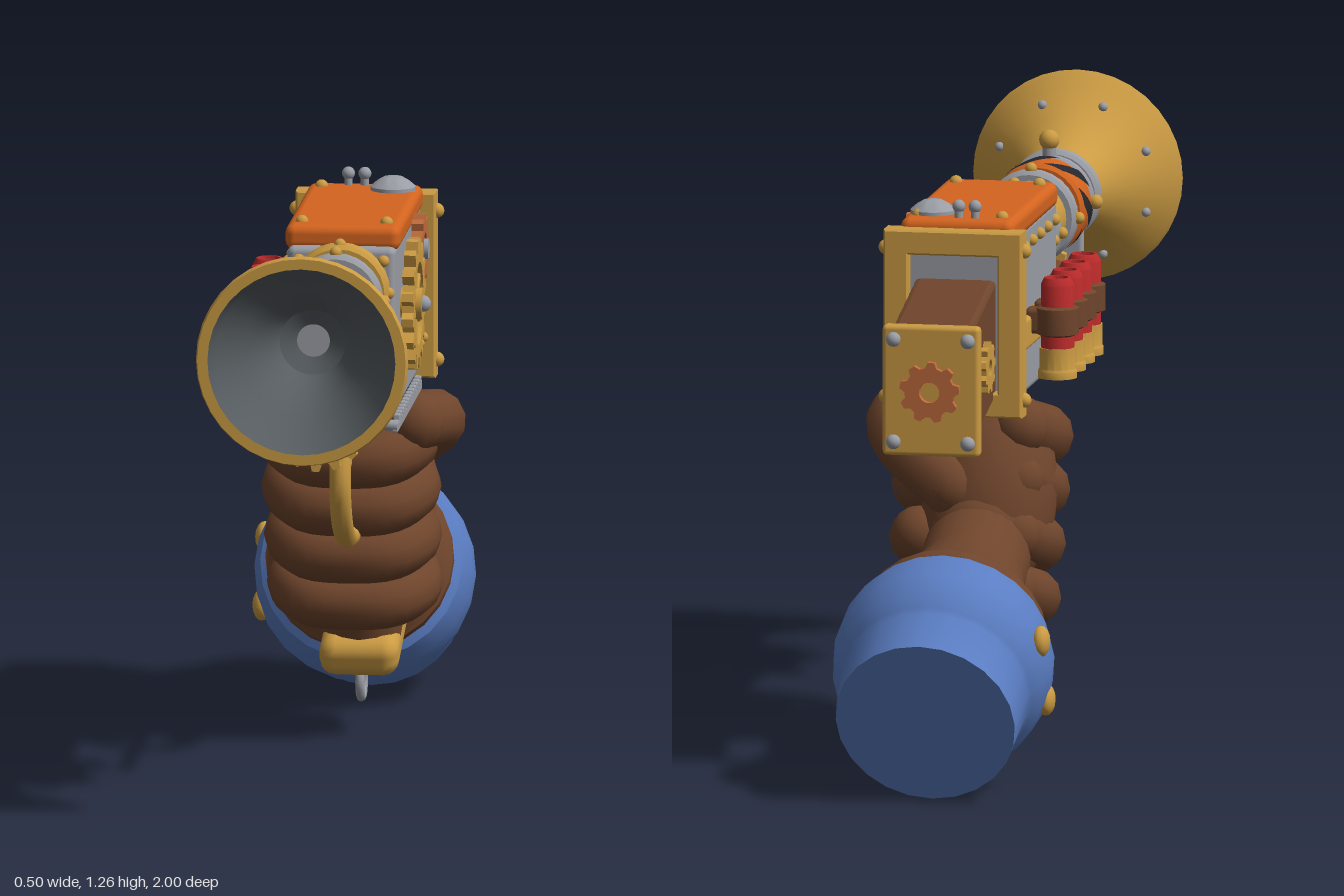
import * as THREE from 'three';
import { toCreasedNormals } from 'three/addons/utils/BufferGeometryUtils.js';
import { RoundedBoxGeometry } from 'three/addons/geometries/RoundedBoxGeometry.js';

const mat = (name, color, side = THREE.FrontSide) => {
  const m = new THREE.MeshStandardMaterial({ color, side });
  m.name = name;
  return m;
};
const V = (x, y, z) => new THREE.Vector3(x, y, z);

export function createModel() {
  const gold = mat('gold', 0xcb9b43), brown = mat('brown leather', 0x6f452c), blue = mat('blue cloth', 0x5a7dc2);
  const orange = mat('orange paint', 0xd4641f), grey = mat('grey steel', 0x9a9da5), dark = mat('dark paint', 0x26262c);
  const red = mat('red', 0xbc2b2b), copper = mat('copper', 0xbf6a3c), bore = mat('dark bore', 0x565c60);

  const model = new THREE.Group();
  const gun = new THREE.Group(), arm = new THREE.Group();
  gun.name = 'gun'; arm.name = 'arm';
  gun.position.x = 0.015;
  model.add(gun, arm);

  const add = (parent, name, geo, material, x = 0, y = 0, z = 0) => {
    const m = new THREE.Mesh(geo, material);
    m.name = name;
    m.position.set(x, y, z);
    parent.add(m);
    return m;
  };
  const box = (name, w, h, d, material, x, y, z, r = 0.01) =>
    add(gun, name, new RoundedBoxGeometry(w, h, d, 2, r), material, x, y, z);
  const ball = (name, r, material, x, y, z, parent = gun) =>
    add(parent, name, new THREE.SphereGeometry(r, 12, 8), material, x, y, z);
  // Turned part: profile of [radius, distance], spun about an axis
  const turned = (parent, name, profile, material, pos, dir = V(0, 0, 1), sides = 28) => {
    const geo = new THREE.LatheGeometry(profile.map(p => new THREE.Vector2(p[0], p[1])), sides);
    const m = add(parent, name, toCreasedNormals(geo, 0.6), material, pos.x, pos.y, pos.z);
    m.quaternion.setFromUnitVectors(V(0, 1, 0), dir.clone().normalize());
    return m;
  };
  // Closed ring or disc with bevelled edges, along z
  const collar = (name, r, z, w, material, y = 1.035) => turned(gun, name,
    [[0, -w / 2], [r - 0.008, -w / 2], [r, -w / 2 + 0.008], [r, w / 2 - 0.008], [r - 0.008, w / 2], [0, w / 2]],
    material, V(0, y, z));
  const rod = (parent, name, a, b, r, material, r2 = r) => {
    const m = add(parent, name, new THREE.CylinderGeometry(r2, r, a.distanceTo(b), 14), material);
    m.position.copy(a).lerp(b, 0.5);
    m.quaternion.setFromUnitVectors(V(0, 1, 0), b.clone().sub(a).normalize());
    return m;
  };
  const tube = (parent, name, pts, r, material) => {
    const curve = new THREE.CatmullRomCurve3(pts);
    add(parent, name, new THREE.TubeGeometry(curve, 24, r, 12), material);
    for (const p of [pts[0], pts[pts.length - 1]]) ball(name + 'End', r, material, p.x, p.y, p.z, parent);
  };
  // Gear lying in the xy plane, centred on its thickness
  const gear = (name, r, teeth, depth, hole, material, x, y, z) => {
    const s = new THREE.Shape(), step = Math.PI * 2 / teeth;
    for (let i = 0; i < teeth; i++) {
      [[0, 0.82], [0.18, 1], [0.5, 1], [0.68, 0.82]].forEach(([f, k], j) => {
        const a = (i + f) * step;
        s[i + j ? 'lineTo' : 'moveTo'](Math.cos(a) * r * k, Math.sin(a) * r * k);
      });
    }
    if (hole) s.holes.push(new THREE.Path().absarc(0, 0, hole, 0, Math.PI * 2, true));
    const geo = new THREE.ExtrudeGeometry(s, { depth, bevelEnabled: false, curveSegments: 20 });
    return add(gun, name, geo.translate(0, 0, -depth / 2), material, x, y, z);
  };

  // Barrel and flared muzzle
  turned(gun, 'barrel', [[0.08, 0.1], [0.08, 0.76]], gold, V(0, 1.035, 0));
  turned(gun, 'muzzleBell', [[0.08, 0.73], [0.088, 0.78], [0.108, 0.84], [0.145, 0.9], [0.195, 0.955], [0.217, 0.975],
    [0.226, 0.985], [0.222, 1], [0.2, 1]], gold, V(0, 1.035, 0), V(0, 0, 1), 36);
  turned(gun, 'muzzleBore', [[0.2, 1], [0.185, 0.96], [0.14, 0.9], [0.1, 0.84], [0.07, 0.76], [0, 0.72]], bore, V(0, 1.035, 0), V(0, 0, 1), 36);
  for (let i = 0; i < 8; i++) {
    const a = (i + 0.5) * Math.PI / 4;
    ball('bellRivet', 0.01, grey, Math.cos(a) * 0.171, 1.035 + Math.sin(a) * 0.171, 0.925);
  }
  for (const [z, r, w] of [[0.72, 0.1, 0.04], [0.66, 0.097, 0.03], [0.455, 0.1, 0.04], [0.265, 0.1, 0.04]]) collar('barrelRing', r, z, w, grey);
  collar('barrelCollar', 0.105, 0.17, 0.05, gold);
  for (const z of [0.455, 0.265, 0.17]) for (let i = 0; i < 4; i++) {
    const a = i * Math.PI / 2;
    ball('ringBolt', 0.013, gold, Math.cos(a) * 0.103, 1.035 + Math.sin(a) * 0.103, z);
  }

  // Striped warning band
  collar('warningBand', 0.1, 0.575, 0.095, orange);
  for (let i = 0; i < 7; i++) {
    const g = new THREE.CylinderGeometry(0.102, 0.102, 0.093, 5, 6, true, i * Math.PI * 2 / 7, 0.42);
    const p = g.attributes.position, v = V(0, 0, 0), up = V(0, 1, 0);
    for (let k = 0; k < p.count; k++) {
      v.fromBufferAttribute(p, k).applyAxisAngle(up, p.getY(k) * 7);
      p.setXYZ(k, v.x, v.y, v.z);
    }
    g.computeVertexNormals();
    add(gun, 'warningStripe', g, dark, 0, 1.035, 0.575).rotation.x = Math.PI / 2;
  }

  // Front bracket, fore grip and pump rod
  box('bracket', 0.15, 0.2, 0.025, grey, 0, 0.9, 0.66);
  rod(gun, 'bracketPost', V(0, 1.12, 0.66), V(0, 1.16, 0.66), 0.014, grey);
  ball('bracketKnob', 0.022, gold, 0, 1.165, 0.66);
  for (const x of [-0.1, 0.1]) ball('bracketBolt', 0.016, gold, x, 1.035, 0.66);
  rod(gun, 'pumpRod', V(0, 0.84, 0.1), V(0, 0.84, 0.72), 0.038, grey);
  collar('pumpCollar', 0.05, 0.16, 0.03, gold, 0.84);
  gear('pumpGear', 0.055, 10, 0.04, 0, grey, 0, 0.85, 0.695);
  turned(gun, 'foreGrip', [[0.04, 0.41], [0.088, 0.42], [0.088, 0.45], [0.07, 0.485], [0.07, 0.54], [0.088, 0.575], [0.088, 0.61], [0.04, 0.62]],
    brown, V(0, 0.835, 0));
  for (const z of [0.415, 0.615]) gear('foreGripGear', 0.104, 14, 0.024, 0, gold, 0, 0.835, z);

  // Toothed rack
  box('rack', 0.014, 0.022, 0.52, grey, 0.15, 0.808, 0.25, 0.004);
  for (let i = 0; i < 13; i++) box('rackTooth', 0.016, 0.016, 0.02, grey, 0.15, 0.823, 0.02 + i * 0.037, 0.004);
  rod(gun, 'rackArm', V(0.155, 0.81, 0.5), V(0.07, 0.82, 0.5), 0.012, grey);

  // Receiver, lid and rear frame
  box('receiver', 0.23, 0.36, 0.55, grey, 0, 0.948, -0.125, 0.015);
  box('lid', 0.245, 0.055, 0.52, orange, 0, 1.143, -0.13, 0.02);
  for (const x of [-0.09, 0.09]) for (const z of [0.08, -0.34]) ball('lidRivet', 0.014, gold, x, 1.17, z);
  const frame = new THREE.Shape([[-0.145, -0.195], [0.145, -0.195], [0.145, 0.195], [-0.145, 0.195]].map(p => new THREE.Vector2(...p)));
  frame.holes.push(new THREE.Path([[-0.1, -0.15], [-0.1, 0.15], [0.1, 0.15], [0.1, -0.15]].map(p => new THREE.Vector2(...p))));
  add(gun, 'rearFrame', new THREE.ExtrudeGeometry(frame, { depth: 0.05, bevelSize: 0.004, bevelThickness: 0.004, bevelSegments: 1 }), gold, 0, 0.953, -0.428);
  for (const s of [-1, 1]) for (const y of [0.79, 1.11]) ball('frameBolt', 0.016, gold, s * 0.149, y, -0.403);
  for (let i = 0; i < 6; i++) ball('receiverRivet', 0.013, gold, -0.116, 1.09, 0.11 - i * 0.085);
  for (const x of [-0.09, 0.09]) for (const y of [0.8, 1.1]) ball('frontRivet', 0.013, gold, x, y, 0.15);
  turned(gun, 'lidDial', [[0.048, 0], [0.048, 0.01], [0.034, 0.022], [0.02, 0.03], [0, 0.032]], grey, V(0.065, 1.168, -0.31), V(0, 1, 0));
  for (const x of [-0.035, 0.0]) {
    rod(gun, 'toggle', V(x, 1.16, -0.36), V(x, 1.195, -0.36), 0.009, grey);
    ball('toggleTip', 0.014, grey, x, 1.195, -0.36);
  }

  // Side panel with diagonal stripes
  box('sidePanel', 0.012, 0.255, 0.105, orange, 0.117, 0.953, -0.322, 0.004);
  box('panelStripe', 0.008, 0.15, 0.03, dark, 0.121, 0.945, -0.322, 0.003).rotation.x = 0.6;
  for (const y of [0.845, 1.06]) for (const z of [-0.285, -0.36]) ball('panelRivet', 0.011, gold, 0.124, y, z);

  // Side gears
  const sideGear = (...a) => { const g = gear(...a); g.rotation.y = Math.PI / 2; return g; };
  sideGear('mainGear', 0.14, 16, 0.025, 0.088, gold, 0.14, 0.985, 0.01);
  for (let i = 0; i < 3; i++) box('mainGearSpoke', 0.016, 0.19, 0.02, gold, 0.14, 0.985, 0.01, 0.004).rotation.x = i * Math.PI / 3;
  rod(gun, 'mainGearHub', V(0.1, 0.985, 0.01), V(0.16, 0.985, 0.01), 0.034, gold);
  ball('mainGearBolt', 0.018, grey, 0.16, 0.985, 0.01);
  sideGear('smallGear', 0.075, 10, 0.025, 0.034, copper, 0.135, 1.07, -0.17);
  rod(gun, 'smallGearHub', V(0.1, 1.07, -0.17), V(0.155, 1.07, -0.17), 0.022, grey);

  // Shell rack
  box('shellPlate', 0.03, 0.07, 0.44, gold, -0.125, 0.915, -0.1);
  for (let i = 0; i < 4; i++) {
    const p = V(-0.192, 0, -0.25 + i * 0.1), up = V(0, 1, 0);
    turned(gun, 'shell', [[0, 0.83], [0.036, 0.83], [0.036, 1.015], [0.028, 1.03], [0.022, 1.03], [0.02, 1.015], [0, 1.015]], red, p, up, 16);
    turned(gun, 'shellBase', [[0, 0.815], [0.042, 0.815], [0.042, 0.83], [0.039, 0.835], [0.039, 0.88], [0, 0.88]], gold, p, up, 16);
    turned(gun, 'shellLoop', [[0.035, 0.905], [0.046, 0.91], [0.046, 0.965], [0.035, 0.97]], brown, p, up, 16);
    box('loopTab', 0.06, 0.055, 0.045, brown, -0.155, 0.937, p.z);
  }

  // Stock and butt plate
  const side = new THREE.Shape([[-0.4, 1.035], [-0.66, 0.975], [-0.66, 0.74], [-0.4, 0.8]].map(p => new THREE.Vector2(...p)));
  const stockGeo = new THREE.ExtrudeGeometry(side, { depth: 0.15, bevelSize: 0.01, bevelThickness: 0.012, bevelSegments: 2 });
  add(gun, 'stock', stockGeo.translate(0, 0, -0.075), brown).rotation.y = -Math.PI / 2;
  box('buttPlate', 0.21, 0.28, 0.035, gold, 0, 0.85, -0.662);
  gear('buttGear', 0.065, 9, 0.02, 0.022, copper, 0, 0.85, -0.686);
  for (const x of [-0.08, 0.08]) for (const y of [0.74, 0.96]) ball('buttBolt', 0.016, grey, x, y, -0.68);
  for (const s of [-1, 1]) sideGear('stockGear', 0.056, 9, 0.02, 0.018, gold, s * 0.092, 0.88, -0.535);

  // Trigger and guard
  tube(gun, 'triggerGuard', [V(0, 0.79, 0.12), V(0, 0.72, 0.155), V(0, 0.61, 0.17), V(0, 0.53, 0.125), V(0, 0.485, 0.04), V(0, 0.475, -0.04)], 0.023, gold);
  box('guardMount', 0.15, 0.03, 0.2, gold, 0, 0.775, 0.03);
  tube(gun, 'trigger', [V(0, 0.78, 0.04), V(0, 0.71, 0.055), V(0, 0.65, 0.08)], 0.016, grey);

  // Pistol grip, pommel and ring
  rod(gun, 'grip', V(0, 0.22, -0.31), V(0, 0.79, -0.1), 0.085, brown, 0.08);
  box('pommel', 0.17, 0.085, 0.235, gold, 0, 0.205, -0.32, 0.035).rotation.x = 0.32;
  add(gun, 'lanyardRing', new THREE.TorusGeometry(0.037, 0.01, 8, 20), grey, 0, 0.118, -0.29).rotation.y = Math.PI / 2;

  // Gloved hand: fingers wrap the grip from right to left
  const fingers = [[0.635, 0.03], [0.525, 0], [0.415, -0.04], [0.305, -0.085]];
  fingers.forEach(([y, zf], i) => {
    const r = 0.064 - i * 0.002;
    const path = [[-0.1, -0.2], [-0.128, -0.09], [-0.085, -0.015], [0, 0], [0.085, -0.015], [0.13, -0.08], [0.115, -0.16]];
    tube(arm, 'finger', path.map(([x, z]) => V(x + 0.005, y + 0.005 - z * 0.32, zf - r + z)), r, brown);
  });
  tube(arm, 'thumb', [V(0.04, 0.58, -0.3), V(0.14, 0.655, -0.265), V(0.182, 0.7, -0.18), V(0.15, 0.715, -0.08)], 0.066, brown);
  const palm = add(arm, 'palm', new THREE.SphereGeometry(1, 24, 16), brown, -0.025, 0.56, -0.22);
  palm.scale.set(0.145, 0.23, 0.135);
  palm.rotation.x = 0.32;
  ball('palmHeel', 0.115, brown, -0.02, 0.48, -0.28, arm);

  // Glove cuff and sleeve share the forearm axis
  const axis = V(0, -0.406, -0.914), cuffAt = V(-0.02, 0.32, -0.61);
  turned(arm, 'gloveCuff', [[0, -0.4], [0.09, -0.37], [0.115, -0.3], [0.116, -0.21], [0.135, -0.14], [0.165, -0.07], [0.188, -0.03],
    [0.2, -0.02], [0.2, 0.005], [0.18, 0.015], [0, 0.02]], brown, cuffAt, axis, 24);
  turned(arm, 'sleeve', [[0.16, 0.025], [0.19, 0.01], [0.215, 0.025], [0.232, 0.075], [0.235, 0.13], [0.225, 0.19], [0.207, 0.212],
    [0.2, 0.225], [0.193, 0.342], [0, 0.342]], blue, cuffAt, axis, 24);
  for (const [y, z] of [[0.335, -0.76], [0.2, -0.7]]) {
    const b = ball('sleeveButton', 0.034, gold, -0.238, y, z, arm);
    b.scale.x = 0.6;
  }
  return model;
}
